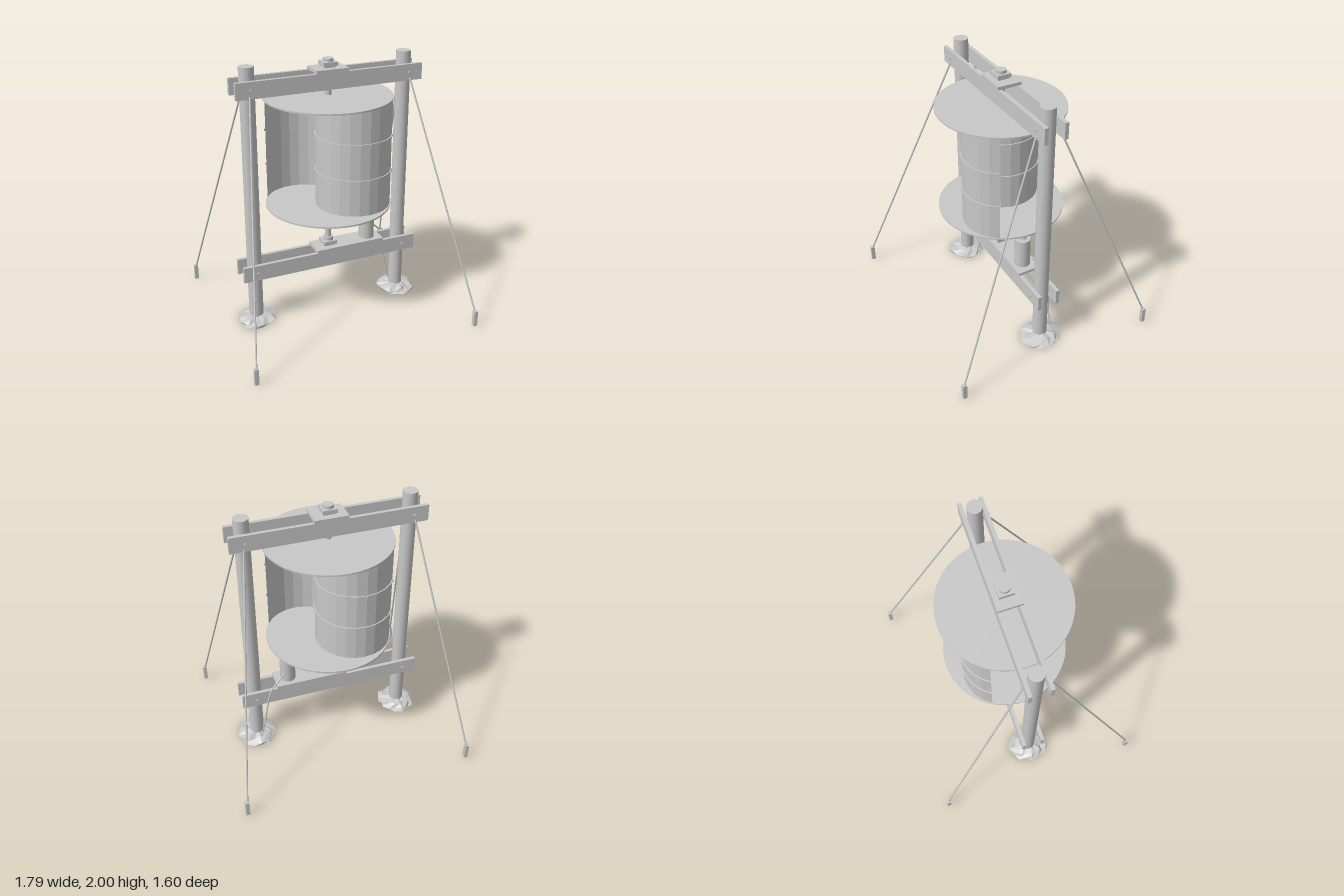
import * as THREE from 'three';

export function createModel() {
  const model = new THREE.Group();
  model.name = 'windRotor';
  const grey = new THREE.MeshStandardMaterial({ color: 0xc8c8c8, side: THREE.DoubleSide });
  grey.name = 'plainGrey';

  const add = (name, geo, x = 0, y = 0, z = 0, parent = model) => {
    const mesh = new THREE.Mesh(geo, grey);
    mesh.name = name;
    mesh.position.set(x, y, z);
    parent.add(mesh);
    return mesh;
  };
  // box and cylinder given by their bottom and top heights
  const box = (name, w, d, y0, y1, x = 0, z = 0) =>
    add(name, new THREE.BoxGeometry(w, y1 - y0, d), x, (y0 + y1) / 2, z);
  const cyl = (name, r, y0, y1, x = 0, z = 0, sides = 24) =>
    add(name, new THREE.CylinderGeometry(r, r, y1 - y0, sides), x, (y0 + y1) / 2, z);
  const flat = (geo) => {
    const g = geo.toNonIndexed();
    g.computeVertexNormals();
    return g;
  };
  const rod = (name, a, b, r) => {
    const dir = b.clone().sub(a);
    const mesh = add(name, new THREE.CylinderGeometry(r, r, dir.length(), 8));
    mesh.position.copy(a).add(b).multiplyScalar(0.5);
    mesh.quaternion.setFromUnitVectors(new THREE.Vector3(0, 1, 0), dir.normalize());
  };

  // irregular footing: rings of jittered points around the post
  const footing = (x, seed) => {
    let s = seed;
    const rnd = () => (s = (s * 16807) % 2147483647) / 2147483647;
    const n = 16, rings = [[0.145, 0], [0.142, 0.016], [0.10, 0.036], [0.045, 0.05]];
    const pos = [0, 0, 0], idx = [];
    rings.forEach(([r, y], k) => {
      for (let i = 0; i < n; i++) {
        const a = (i / n) * Math.PI * 2;
        const rr = r * (k < 3 ? 0.85 + 0.32 * rnd() : 1);
        pos.push(Math.cos(a) * rr, y + (k ? (rnd() - 0.5) * 0.016 : 0), Math.sin(a) * rr);
      }
    });
    for (let i = 0; i < n; i++) {
      const j = (i + 1) % n;
      idx.push(0, 1 + i, 1 + j);
      for (let k = 0; k < 3; k++) {
        const a = 1 + k * n + i, b = 1 + k * n + j;
        idx.push(a, a + n, b, b, a + n, b + n);
      }
    }
    const g = new THREE.BufferGeometry();
    g.setAttribute('position', new THREE.Float32BufferAttribute(pos, 3));
    g.setIndex(idx);
    add('footing', flat(g), x);
  };

  // posts, footings, stakes and guy wires
  for (const sx of [-1, 1]) {
    cyl('post', 0.055, 0, 2, sx * 0.61);
    footing(sx * 0.61, sx > 0 ? 4711 : 977);
    for (const sz of [-1, 1]) {
      box('stake', 0.03, 0.03, 0.005, 0.13, sx * 0.88, sz * 0.785);
      rod('guyWire', new THREE.Vector3(sx * 0.62, 1.81, sz * 0.09),
        new THREE.Vector3(sx * 0.877, 0.125, sz * 0.782), 0.007);
    }
  }

  // paired cross planks with through bolts
  for (const y of [0.38, 1.79]) {
    for (const sz of [-1, 1]) box('crossPlank', 1.44, 0.028, y, y + 0.122, 0, sz * 0.076);
    for (const sx of [-1, 1]) {
      add('bolt', new THREE.CylinderGeometry(0.009, 0.009, 0.204, 8), sx * 0.61, y + 0.06, 0)
        .rotation.x = Math.PI / 2;
    }
  }

  // mounting plates and shaft bearings
  box('topPlate', 0.25, 0.18, 1.912, 1.935);
  box('lowerPlate', 0.565, 0.18, 0.502, 0.524, 0.157);
  for (const y of [0.524, 1.935]) {
    box('bearingBase', 0.08, 0.08, y, y + 0.012);
    box('bearingBlock', 0.108, 0.108, y + 0.012, y + 0.042);
    cyl('bearingCollar', 0.04, y + 0.042, y + (y > 1 ? 0.065 : 0.07));
  }
  cyl('shaft', 0.024, 0.53, 1.99);

  // rotor: two end discs with two half drums that overlap at the shaft
  for (const y of [0.885, 1.72]) cyl('endDisc', 0.475, y, y + 0.012, 0, 0, 48);
  const r = 0.282, c = 0.187, tilt = Math.PI / 6;
  for (const side of [0, 1]) {
    const cup = new THREE.Group();
    cup.name = 'halfDrum';
    cup.rotation.y = side * Math.PI;
    model.add(cup);
    const arc = (radius, h) => flat(new THREE.CylinderGeometry(
      radius, radius, h, 12, 1, true, -Math.PI * 2 / 3, Math.PI));
    const x = c * Math.cos(tilt), z = c * Math.sin(tilt);
    add('drumSkin', arc(r, 0.83), x, 1.308, z, cup);
    for (const y of [1.17, 1.443]) {
      add('drumRib', arc(r + 0.009, 0.016), x, y, z, cup);
      for (const e of [-0.008, 0.008]) {
        const lip = new THREE.RingGeometry(r, r + 0.009, 12, 1, tilt, Math.PI);
        lip.rotateX(Math.PI / 2);
        add('ribLip', lip, x, y + e, z, cup);
      }
    }
  }

  // drive: large pulley, generator, small pulley and belt
  cyl('largePulley', 0.13, 0.764, 0.782, 0, 0, 32);
  cyl('generator', 0.06, 0.524, 0.757, 0.333);
  cyl('generatorShaft', 0.012, 0.75, 0.782, 0.333, 0, 12);
  cyl('smallPulley', 0.028, 0.766, 0.782, 0.333);
  const loop = (shape, big, small) => {
    const a = Math.acos((big - small) / 0.333);
    shape.absarc(0, 0, big, a, Math.PI * 2 - a, false);
    shape.absarc(0.333, 0, small, -a, a, false);
    shape.closePath();
    return shape;
  };
  const belt = loop(new THREE.Shape(), 0.136, 0.034);
  belt.holes.push(loop(new THREE.Path(), 0.13, 0.028));
  const beltGeo = new THREE.ExtrudeGeometry(belt, { depth: 0.01, bevelEnabled: false, curveSegments: 20 });
  beltGeo.rotateX(-Math.PI / 2);
  add('belt', beltGeo, 0, 0.768, 0);

  // power cable from the generator to the ground
  const path = new THREE.CatmullRomCurve3([
    [0.37, 0.6, -0.04], [0.43, 0.57, -0.08], [0.5, 0.5, -0.104],
    [0.532, 0.38, -0.11], [0.557, 0.23, -0.106], [0.6, 0.02, -0.095],
  ].map((p) => new THREE.Vector3(...p)));
  add('cable', new THREE.TubeGeometry(path, 24, 0.006, 8));

  return model;
}
